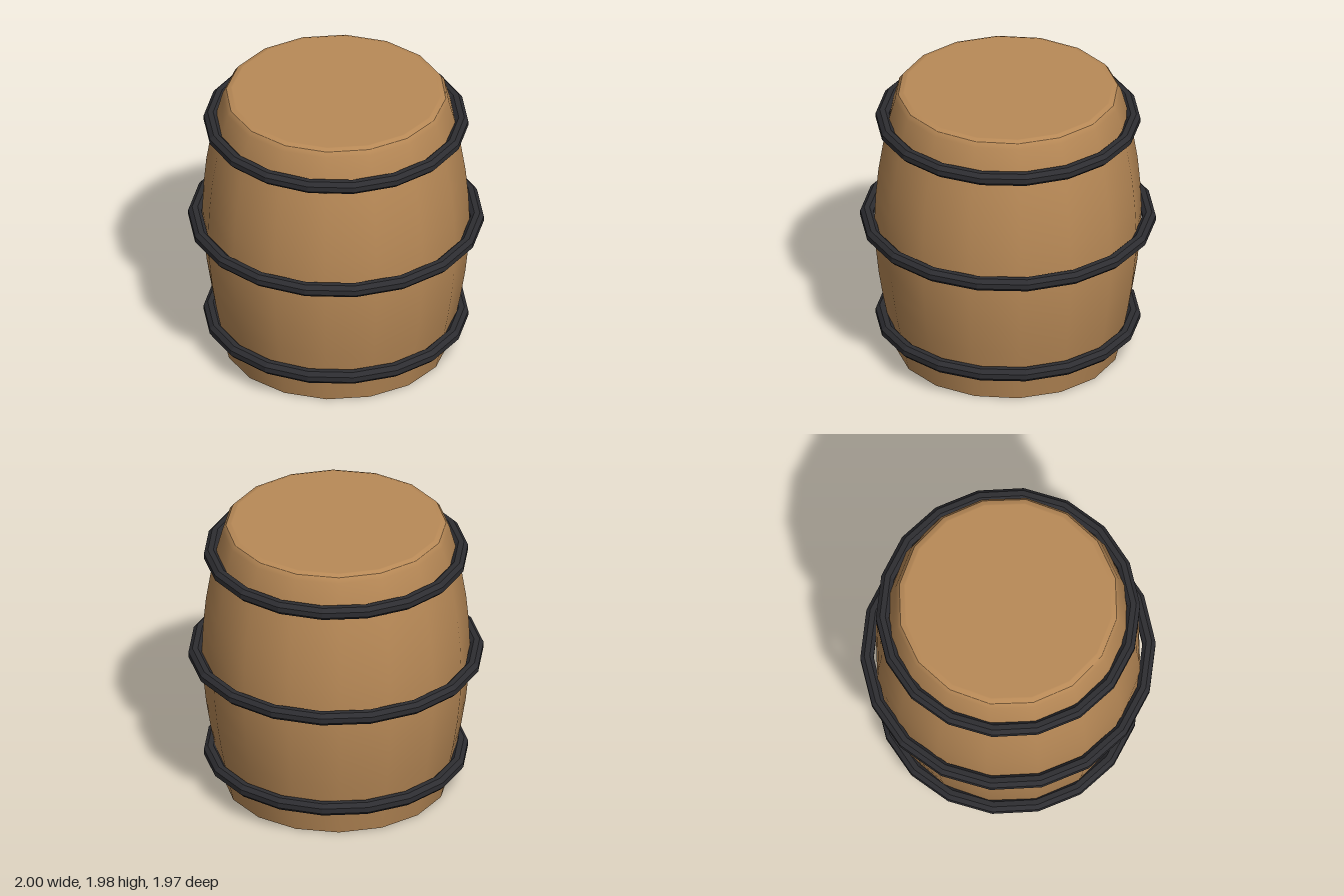
import * as THREE from 'three';

const wood = new THREE.MeshStandardMaterial({ color: 0xb98a57, side: THREE.DoubleSide });
wood.name = 'warm wood';
const iron = new THREE.MeshStandardMaterial({ color: 0x2d2d31, flatShading: true });
iron.name = 'dark iron';

// Spins a [radius, height] profile, with one corner of the polygon on +x
function turned(name, profile, sides, material) {
  const points = profile.map(([r, y]) => new THREE.Vector2(r, y));
  const geometry = new THREE.LatheGeometry(points, sides, Math.PI / 2);
  const mesh = new THREE.Mesh(geometry, material);
  mesh.name = name;
  return mesh;
}

// Hoop with an octagonal section, flat side outward
function hoop(name, radius, y) {
  const section = [];
  for (let i = 0; i <= 8; i++) {
    const a = (i - 0.5) * Math.PI / 4;
    section.push([radius + 0.0487 * Math.cos(a), y + 0.0487 * Math.sin(a)]);
  }
  return turned(name, section, 18, iron);
}

export function createModel() {
  const barrel = new THREE.Group();
  barrel.name = 'barrel';

  // Bulging wall, open underneath
  barrel.add(turned('staves', [
    [0.76, 0], [0.805, 0.2], [0.846, 0.4], [0.878, 0.6], [0.899, 0.8], [0.907, 1],
    [0.899, 1.2], [0.88, 1.4], [0.848, 1.6], [0.805, 1.8], [0.768, 1.935], [0.745, 1.968],
  ], 16, wood));

  // Lid with a narrow bevel
  barrel.add(turned('lid', [[0.745, 1.968], [0.715, 1.98], [0.705, 1.98], [0, 1.98]], 16, wood));

  // Three iron hoops
  barrel.add(hoop('lowerHoop', 0.85, 0.235));
  barrel.add(hoop('middleHoop', 0.955, 0.993));
  barrel.add(hoop('upperHoop', 0.85, 1.753));

  return barrel;
}
